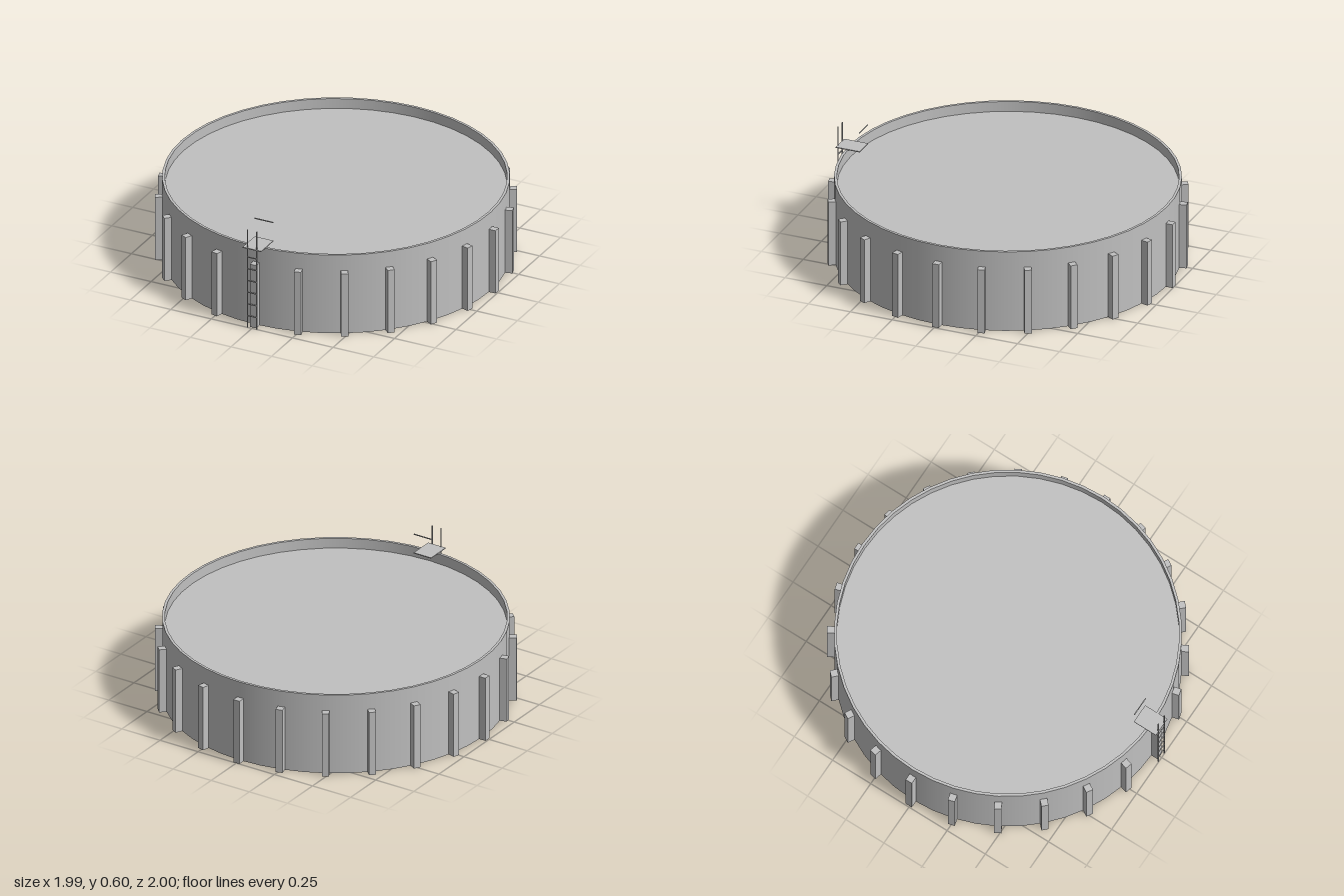
import * as THREE from 'three';

const CENTRE_Z = -0.006;
const OUTER = 0.953, INNER = 0.938, WALL_TOP = 0.48, SURFACE = 0.42;

export function createModel() {
  const model = new THREE.Group();
  const grey = new THREE.MeshStandardMaterial({ color: 0xc0c0c0 });
  grey.name = 'light grey';

  const add = (parent, name, geometry, x = 0, y = 0, z = 0) => {
    const mesh = new THREE.Mesh(geometry, grey);
    mesh.name = name;
    mesh.position.set(x, y, z);
    parent.add(mesh);
    return mesh;
  };
  const box = (parent, name, w, h, d, x, y, z) =>
    add(parent, name, new THREE.BoxGeometry(w, h, d), x, y, z);

  // Round tank, with separate shells so every rim edge stays sharp
  const tank = new THREE.Group();
  tank.name = 'tank';
  tank.position.z = CENTRE_Z;
  model.add(tank);
  const shell = (name, ...points) => add(tank, name,
    new THREE.LatheGeometry(points.map(([r, y]) => new THREE.Vector2(r, y)), 48));
  shell('outerWall', [OUTER, 0], [OUTER, WALL_TOP]);
  shell('rim', [OUTER, WALL_TOP], [INNER, WALL_TOP]);
  shell('innerWall', [INNER, WALL_TOP], [INNER, SURFACE]);
  shell('surface', [INNER, SURFACE], [0, SURFACE]);
  shell('underside', [0, 0], [OUTER, 0]);

  // Ring of buttress posts around the wall
  for (let i = 0; i < 24; i++) {
    const pivot = new THREE.Group();
    pivot.name = 'buttress';
    pivot.rotation.y = i * Math.PI / 12;
    box(pivot, 'buttressPost', 0.04, 0.385, 0.05, 0, 0.1925, 0.968);
    tank.add(pivot);
  }

  // Ladder on the front
  const ladder = new THREE.Group();
  ladder.name = 'ladder';
  model.add(ladder);
  for (const side of [-1, 1]) {
    box(ladder, 'ladderRail', 0.005, 0.6, 0.005, side * 0.029, 0.3, 0.9975);
  }
  for (let i = 1; i <= 6; i++) {
    box(ladder, 'rung', 0.056, 0.005, 0.005, 0, i * 0.072, 0.9975);
  }

  // Small landing across the rim, with its top bar
  box(model, 'landing', 0.114, 0.005, 0.145, 0, 0.485, 0.9275);
  box(model, 'topBar', 0.114, 0.005, 0.005, 0, 0.6, 0.8575);

  return model;
}
